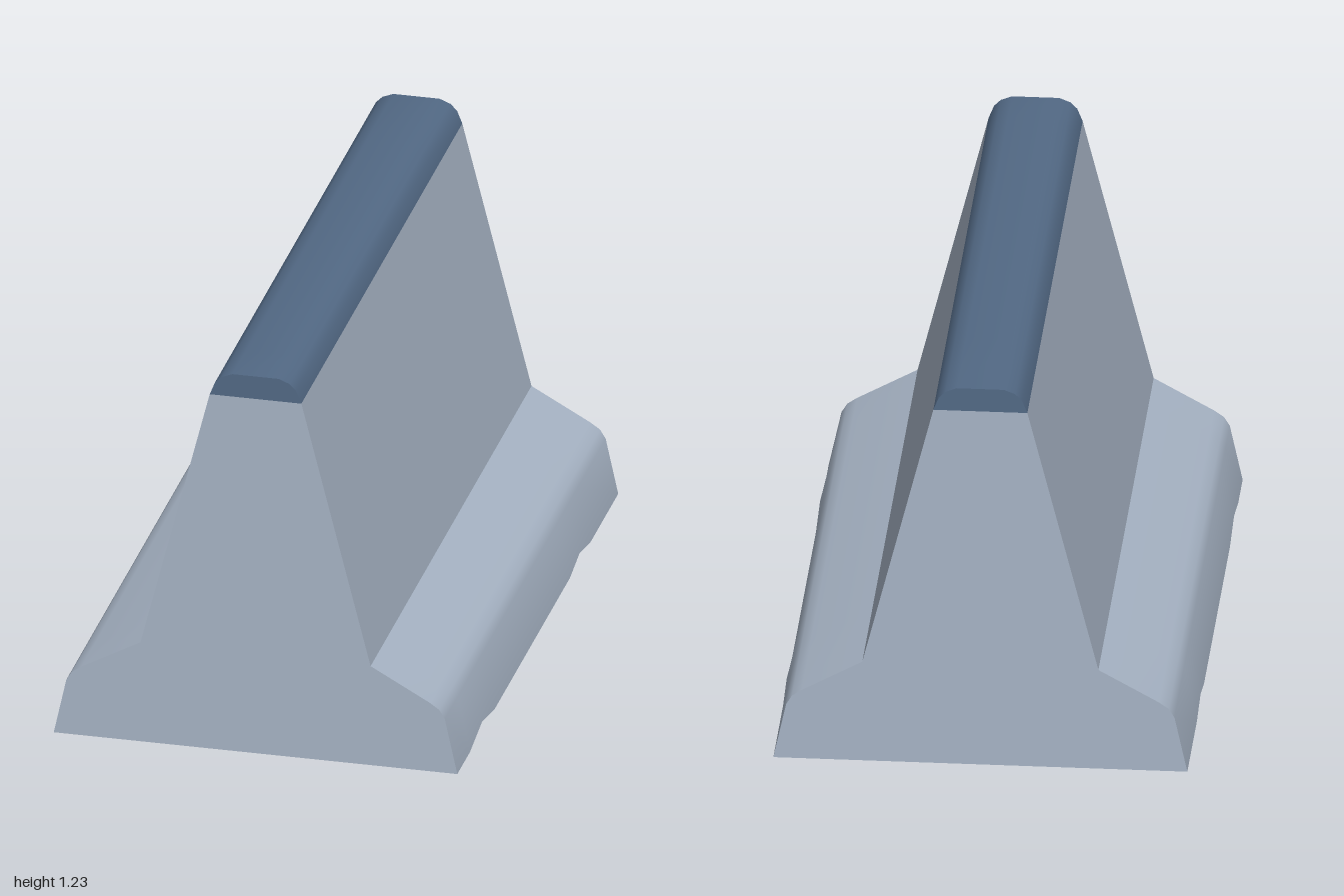
import * as THREE from 'three';
import { toCreasedNormals } from 'three/addons/utils/BufferGeometryUtils.js';

// z stations with the height of the chipped underside at each
const stations = [
  [-1, 0], [-0.65, 0], [-0.52, 0.026], [-0.4, 0],
  [0.54, 0], [0.69, 0.03], [0.84, 0], [1, 0],
];

// Half outlines, listed upward along +x
const bodyHalf = [
  [0.612, 0], [0.574, 0.175], [0.557, 0.203], [0.528, 0.223], [0.349, 0.322], [0.139, 1.153],
];
const capHalf = [[0.139, 1.153], [0.123, 1.193], [0.103, 1.213], [0.07, 1.226]];

// Lofts a mirrored outline along z; openSide is the hidden strip left out at the seam
function loft(half, openSide) {
  const ring = [...half, ...half.map(([x, y]) => [-x, y]).reverse()];
  const n = ring.length;
  const positions = [];
  const index = [];
  for (const [z, lift] of stations) {
    for (const [x, y] of ring) positions.push(x, y === 0 ? lift : y, z);
  }
  for (let s = 0; s < stations.length - 1; s++) {
    for (let i = 0; i < n; i++) {
      if (i === openSide) continue;
      const j = (i + 1) % n;
      const a = s * n + i, b = s * n + j, c = a + n, d = b + n;
      index.push(a, b, d, a, d, c);
    }
  }
  // End faces
  const outline = ring.map(([x, y]) => new THREE.Vector2(x, y));
  const last = (stations.length - 1) * n;
  for (const [a, b, c] of THREE.ShapeUtils.triangulateShape(outline, [])) {
    index.push(last + a, last + b, last + c, a, c, b);
  }
  const geometry = new THREE.BufferGeometry();
  geometry.setAttribute('position', new THREE.Float32BufferAttribute(positions, 3));
  geometry.setIndex(index);
  return toCreasedNormals(geometry, 0.6);
}

export function createModel() {
  const concrete = new THREE.MeshStandardMaterial({ color: 0xa8b5c6 });
  concrete.name = 'pale concrete';
  const blue = new THREE.MeshStandardMaterial({ color: 0x536a86 });
  blue.name = 'slate blue';

  const group = new THREE.Group();
  group.name = 'roadBarrier';

  // Flared concrete body
  const body = new THREE.Mesh(loft(bodyHalf, bodyHalf.length - 1), concrete);
  body.name = 'barrierBody';

  // Rounded coloured top
  const cap = new THREE.Mesh(loft(capHalf, capHalf.length * 2 - 1), blue);
  cap.name = 'topCap';

  group.add(body, cap);
  return group;
}
